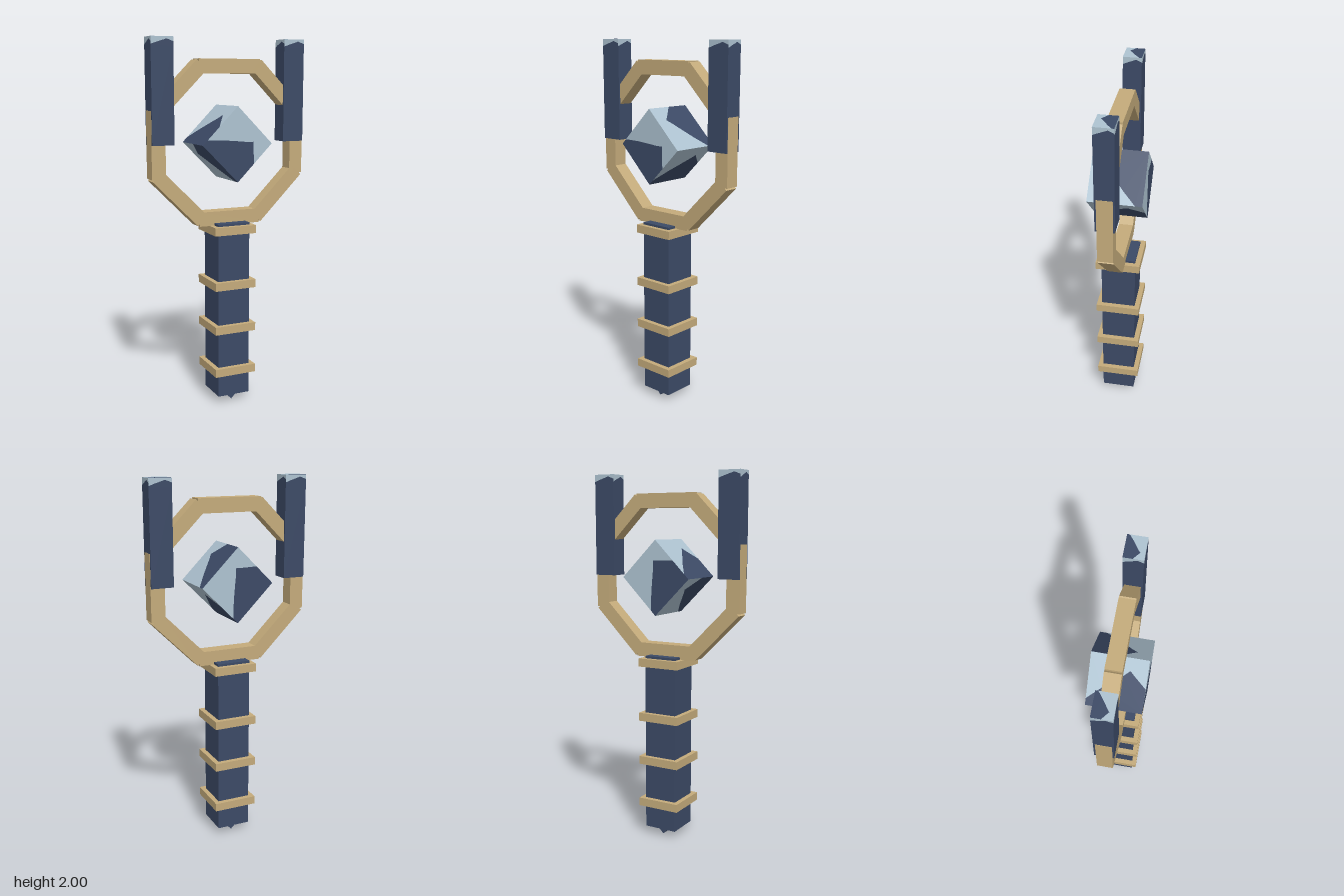
import * as THREE from 'three';

const navy = new THREE.MeshStandardMaterial({ color: 0x3c4a66 });
navy.name = 'navy';
const ice = new THREE.MeshStandardMaterial({ color: 0xaec3d1 });
ice.name = 'ice blue';
const gold = new THREE.MeshStandardMaterial({ color: 0xc4ab7b });
gold.name = 'gold';

// Wavy border between the navy and ice halves of a unit square
const wave = [[0, 0.13], [0.25, 0.37], [0.5, 0.58], [0.6, 0.66], [0.7, 0.76], [0.8, 0.66], [1, 0.47]]
  .map(([u, v]) => new THREE.Vector2(u, v));
const halfGeometry = (v) => new THREE.ShapeGeometry(
  new THREE.Shape([new THREE.Vector2(0, v), ...wave, new THREE.Vector2(1, v)]));
const lowerHalf = halfGeometry(0);
const upperHalf = halfGeometry(1);

function box(parent, name, material, size, position, angle = 0) {
  const mesh = new THREE.Mesh(new THREE.BoxGeometry(...size), material);
  mesh.name = name;
  mesh.position.set(...position);
  mesh.rotation.z = angle;
  parent.add(mesh);
  return mesh;
}

// Box whose six faces are split into navy and ice by the wave
function wavyBox(name, size, position) {
  const group = new THREE.Group();
  group.name = name;
  const V = (x, y, z) => new THREE.Vector3(x, y, z);
  const faces = [
    [V(1, 0, 0), V(0, 1, 0)],    // front
    [V(0, 0, -1), V(0, 1, 0)],   // +x side
    [V(-1, 0, 0), V(0, 1, 0)],   // back
    [V(0, 0, 1), V(0, 1, 0)],    // -x side
    [V(-1, 0, 0), V(0, 0, 1)],   // top
    [V(-1, 0, 0), V(0, 0, -1)],  // bottom
  ];
  for (const [u, v] of faces) {
    const n = u.clone().cross(v);
    const corner = n.clone().sub(u).sub(v).multiplyScalar(0.5);
    const matrix = new THREE.Matrix4().makeBasis(u, v, n).setPosition(corner);
    for (const [label, geometry, material] of [['Dark', lowerHalf, navy], ['Light', upperHalf, ice]]) {
      const mesh = new THREE.Mesh(geometry, material);
      mesh.name = name + label;
      mesh.applyMatrix4(matrix);
      group.add(mesh);
    }
  }
  group.scale.set(...size);
  group.position.set(...position);
  return group;
}

export function createModel() {
  const model = new THREE.Group();
  model.name = 'scepter';

  // Handle, pointed foot and collars
  box(model, 'handle', navy, [0.186, 0.98, 0.186], [0, 0.53, 0]);
  box(model, 'footTip', navy, [0.08, 0.08, 0.12], [0, 0.0566, 0], Math.PI / 4);
  for (const y of [0.188, 0.432, 0.68, 0.985]) {
    box(model, 'collar', gold, [0.24, 0.045, 0.24], [0, y, 0]);
  }

  // Octagonal ring of eight bars
  const ring = new THREE.Group();
  ring.name = 'ring';
  ring.position.y = 1.45;
  for (let i = 0; i < 8; i++) {
    const a = i * Math.PI / 4;
    box(ring, 'ringBar', gold, [0.077, 0.355, 0.08], [0.405 * Math.cos(a), 0.405 * Math.sin(a), 0], a);
  }
  model.add(ring);

  // Upright posts with frosted ends
  for (const side of [-1, 1]) {
    box(model, 'post', navy, [0.122, 0.505, 0.098], [side * 0.381, 1.7025, 0]);
    model.add(wavyBox('postCrown', [0.122, 0.045, 0.098], [side * 0.381, 1.9775, 0]));
  }

  // Floating cube standing on its edge
  const gem = wavyBox('gem', [0.283, 0.283, 0.283], [0, 1.45, 0]);
  gem.rotation.z = -Math.PI / 4;
  model.add(gem);

  return model;
}
